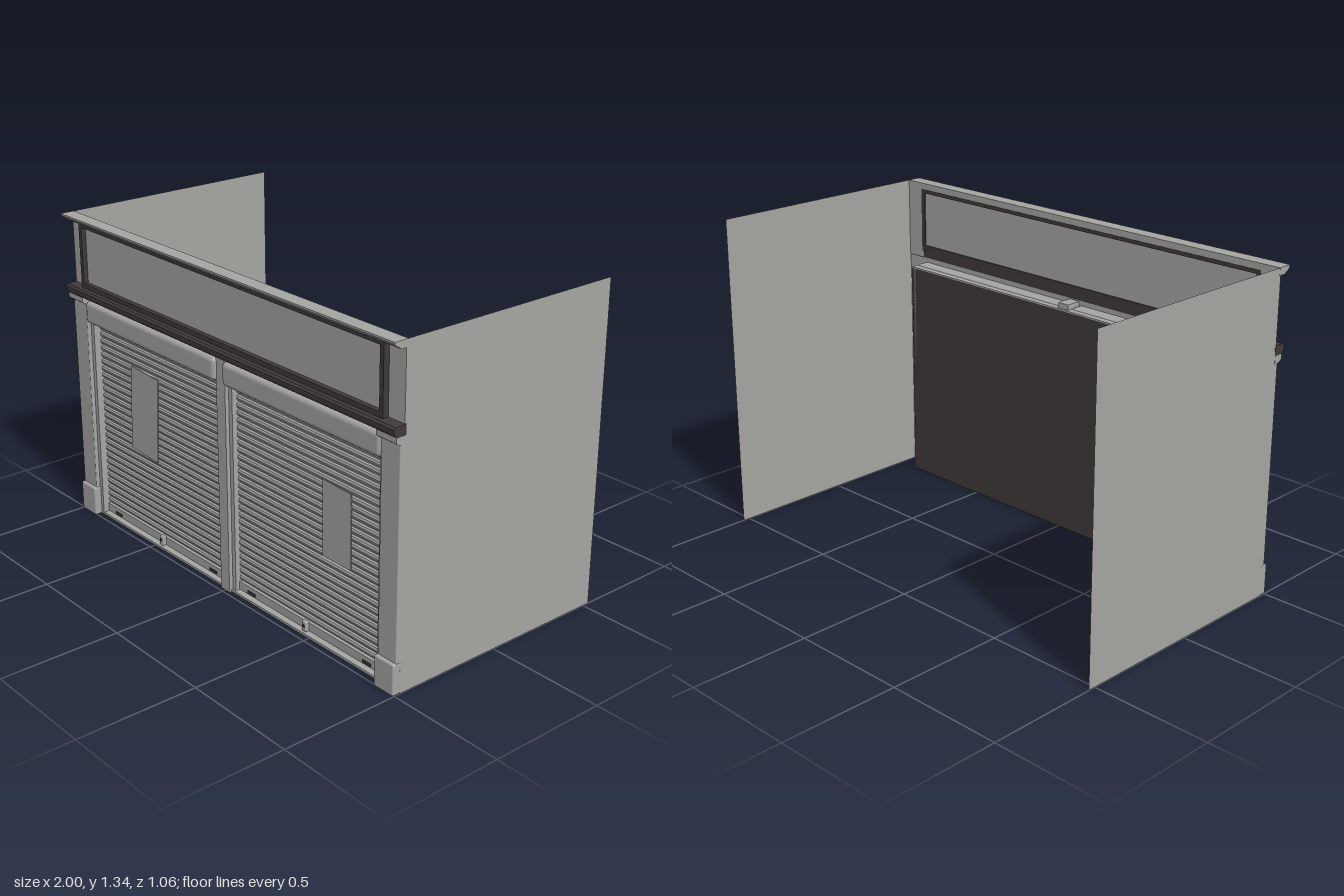
import * as THREE from 'three';
import { RoundedBoxGeometry } from 'three/addons/geometries/RoundedBoxGeometry.js';

const grey = new THREE.MeshStandardMaterial({ color: 0xa5a5a2, side: THREE.DoubleSide });
grey.name = 'paintedGrey';
const dark = new THREE.MeshStandardMaterial({ color: 0x403a39, side: THREE.DoubleSide });
dark.name = 'darkTrim';

export function createModel() {
  const model = new THREE.Group();
  model.name = 'shopfront';

  const add = (name, geometry, material) => {
    const mesh = new THREE.Mesh(geometry, material);
    mesh.name = name;
    model.add(mesh);
    return mesh;
  };
  // Box given by its limits; a radius rounds the edges
  const box = (name, material, x0, x1, y0, y1, z0, z1, radius = 0) => {
    const size = [x1 - x0, y1 - y0, z1 - z0];
    const g = radius ? new RoundedBoxGeometry(...size, 3, radius) : new THREE.BoxGeometry(...size);
    g.translate((x0 + x1) / 2, (y0 + y1) / 2, (z0 + z1) / 2);
    return add(name, g, material);
  };
  // Section of [z, y] points swept along x
  const sweep = (name, material, x0, x1, points) => {
    const shape = new THREE.Shape(points.map(([z, y]) => new THREE.Vector2(z, y)));
    const g = new THREE.ExtrudeGeometry(shape, { depth: x1 - x0, bevelEnabled: false });
    g.rotateY(-Math.PI / 2).translate(x1, 0, 0);
    return add(name, g, material);
  };
  // Flat outline of [x, y] points lying just in front of z
  const plate = (name, material, z, points) => {
    const shape = new THREE.Shape(points.map(([x, y]) => new THREE.Vector2(x, y)));
    const g = new THREE.ExtrudeGeometry(shape, { depth: 0.004, bevelEnabled: false });
    return add(name, g.translate(0, 0, z), material);
  };
  const span = (side, a, b) => (side > 0 ? [a, b] : [-b, -a]);

  // Open side walls and the pilasters in front of them
  for (const s of [-1, 1]) {
    const wall = new THREE.PlaneGeometry(1.005, 1.335);
    wall.rotateY(s * Math.PI / 2).translate(s * 0.999, 0.6675, -0.0275);
    add('sideWall', wall, grey);
    box('pilaster', grey, ...span(s, 0.902, 0.998), 0, 0.995, 0.47, 0.493, 0.004);
    box('pilasterBase', grey, ...span(s, 0.898, 1), 0, 0.128, 0.472, 0.508, 0.007);
    sweep('pilasterCapital', grey, ...span(s, 0.898, 1),
      [[0.472, 0.96], [0.499, 0.965], [0.513, 0.975], [0.513, 0.996], [0.472, 0.996]]);
    box('jamb', grey, ...span(s, 0.882, 0.904), 0, 0.97, 0.39, 0.476);
    box('upperPier', grey, ...span(s, 0.91, 0.998), 1, 1.31, 0.468, 0.475);
  }

  // Central post, sill, rear panel and the ledge over the shutters
  box('centrePost', grey, -0.027, 0.027, 0, 0.995, 0.4, 0.485);
  for (const x of [-0.035, 0.035]) box('postGuide', grey, x - 0.012, x + 0.012, 0, 0.9, 0.4, 0.468);
  box('sill', grey, -0.9, 0.9, 0, 0.01, 0.394, 0.475);
  box('rearPanel', dark, -0.902, 0.902, 0, 0.966, 0.39, 0.394);
  box('ledge', grey, -0.902, 0.902, 0.966, 0.972, 0.39, 0.47);
  box('fascia', grey, -0.91, 0.91, 0.965, 1, 0.468, 0.476);

  // Dark beam with softened edges
  sweep('beam', dark, -1, 1, [[0.47, 0.997], [0.513, 0.997], [0.522, 1.003],
    [0.525, 1.012], [0.525, 1.026], [0.517, 1.034], [0.47, 1.036]]);

  // Sign board in its dark frame
  box('signBoard', grey, -0.9, 0.9, 1.045, 1.3, 0.472, 0.48);
  for (const s of [-1, 1]) box('signFrameSide', dark, ...span(s, 0.898, 0.917), 1.03, 1.308, 0.466, 0.5);
  box('signFrameTop', dark, -0.9, 0.9, 1.292, 1.308, 0.466, 0.5);
  box('signFrameBottom', dark, -0.9, 0.9, 1.034, 1.055, 0.466, 0.5);

  // Cornice with a sloping underside
  sweep('cornice', grey, -1, 1, [[0.468, 1.305], [0.5, 1.305], [0.507, 1.312],
    [0.52, 1.318], [0.529, 1.328], [0.529, 1.335], [0.468, 1.335]]);

  // Roller shutters
  const bottom = 0.045, top = 0.9, slats = 28, pitch = (top - bottom) / slats;
  for (const s of [-1, 1]) {
    const section = [[0.425, bottom]];
    for (let i = 0; i < slats; i++) {
      const y = bottom + i * pitch;
      section.push([0.436, y], [0.436, y + pitch * 0.15], [0.444, y + pitch * 0.3],
        [0.447, y + pitch * 0.6], [0.444, y + pitch * 0.9], [0.436, y + pitch]);
    }
    section.push([0.425, top]);
    sweep('shutterCurtain', grey, ...span(s, 0.04, 0.886), section);
    box('shutterHousing', grey, ...span(s, 0.022, 0.905), 0.882, 0.979, 0.415, 0.5, 0.02);
    box('bottomRail', grey, ...span(s, 0.04, 0.886), 0.012, 0.047, 0.425, 0.45);
    for (const x of [0.125, 0.8]) {
      box('railSlot', dark, ...span(s, x - 0.023, x + 0.023), 0.018, 0.029, 0.448, 0.454);
    }
    // Lock with a small dark keyhole
    box('lock', grey, ...span(s, 0.45, 0.474), 0.012, 0.054, 0.448, 0.468, 0.004);
    box('keyhole', dark, ...span(s, 0.456, 0.468), 0.03, 0.042, 0.465, 0.47);
  }

  // Blank notices stuck to the shutters
  plate('leftNotice', grey, 0.45, [[0.555, 0.365], [0.71, 0.365], [0.71, 0.668], [0.555, 0.674]]);
  plate('rightNotice', grey, 0.45, [[-0.67, 0.385], [-0.485, 0.375], [-0.463, 0.745], [-0.65, 0.755]]);

  return model;
}
